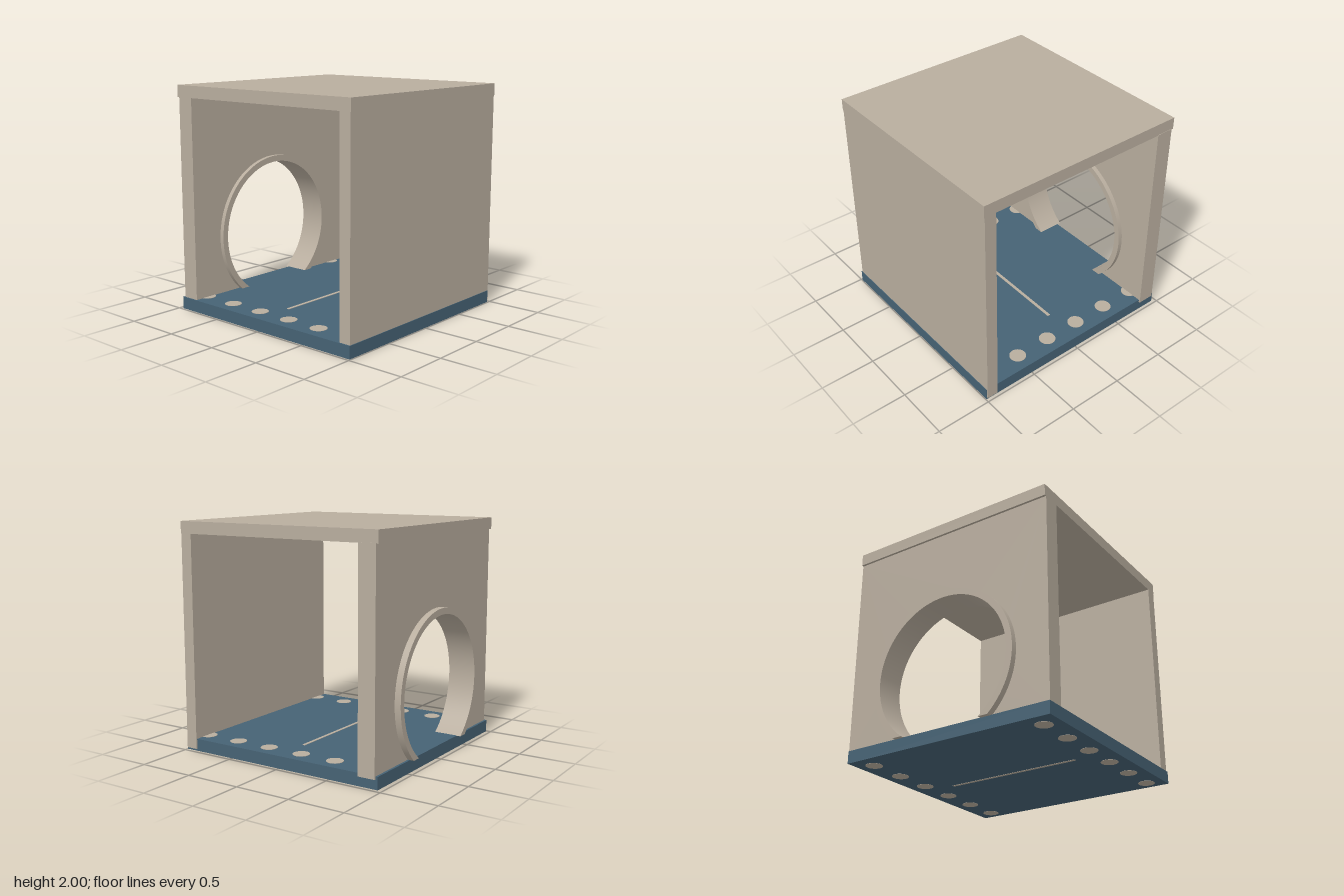
import * as THREE from 'three';
import { toCreasedNormals } from 'three/addons/utils/BufferGeometryUtils.js';

const stone = new THREE.MeshStandardMaterial({ color: 0xb8ad9e });
stone.name = 'warm stone';
const blue = new THREE.MeshStandardMaterial({ color: 0x466274 });
blue.name = 'slate blue';

export function createModel() {
  const model = new THREE.Group();
  model.name = 'openBox';

  const add = (name, geometry, material) => {
    const mesh = new THREE.Mesh(geometry, material);
    mesh.name = name;
    model.add(mesh);
    return mesh;
  };
  // Box given by its extents on each axis
  const block = (name, material, [x0, x1], [y0, y1], [z0, z1]) =>
    add(name, new THREE.BoxGeometry(x1 - x0, y1 - y0, z1 - z0), material)
      .position.set((x0 + x1) / 2, (y0 + y1) / 2, (z0 + z1) / 2);
  // Flat outline extruded between two z planes
  const slab = (name, shape, z0, z1) => {
    const geometry = new THREE.ExtrudeGeometry(shape, { depth: z1 - z0, bevelEnabled: false, curveSegments: 64 });
    add(name, toCreasedNormals(geometry, 0.5), stone).position.z = z0;
  };

  // Floor, roof and solid front
  block('floor', blue, [-0.985, 0.97], [0.002, 0.11], [-0.96, 0.995]);
  block('roof', stone, [-0.975, 0.98], [1.895, 2], [-0.96, 0.995]);
  block('frontPanel', stone, [-0.975, 0.98], [0.02, 1.9], [0.885, 0.99]);

  // Circular doorway, cut off where it meets the floor
  const cx = 0.005, cy = 0.615, outer = 0.685, inner = 0.63, hole = 0.66;
  const cutAngle = (radius, y) => Math.asin((y - cy) / radius);

  // Back panel with the doorway cut from its bottom edge
  const panelBottom = 0.085;
  const a = cutAngle(hole, panelBottom);
  const back = new THREE.Shape();
  back.moveTo(0.983, panelBottom);
  back.lineTo(0.983, 1.9);
  back.lineTo(-0.975, 1.9);
  back.lineTo(-0.975, panelBottom);
  back.lineTo(cx - hole * Math.cos(a), panelBottom);
  back.absarc(cx, cy, hole, Math.PI - a, a, true);
  back.closePath();
  slab('backPanel', back, -0.94, -0.785);

  // Rim lining the doorway
  const ao = cutAngle(outer, 0.108), ai = cutAngle(inner, 0.108);
  const rim = new THREE.Shape();
  rim.absarc(cx, cy, outer, ao, Math.PI - ao, false);
  rim.absarc(cx, cy, inner, Math.PI - ai, ai, true);
  rim.closePath();
  slab('doorwayRim', rim, -0.995, -0.745);

  // Round plugs through the floor along both sides
  const plug = new THREE.CylinderGeometry(0.073, 0.073, 0.113, 32);
  for (const x of [-0.833, 0.822]) {
    for (let i = 0; i < 6; i++) {
      add('floorPlug', plug, stone).position.set(x, 0.0565, -0.8 + i * 0.335);
    }
  }

  // Thin strip through the middle of the floor
  block('floorStrip', stone, [-0.63, 0.61], [0, 0.113], [-0.014, 0.014]);

  return model;
}
